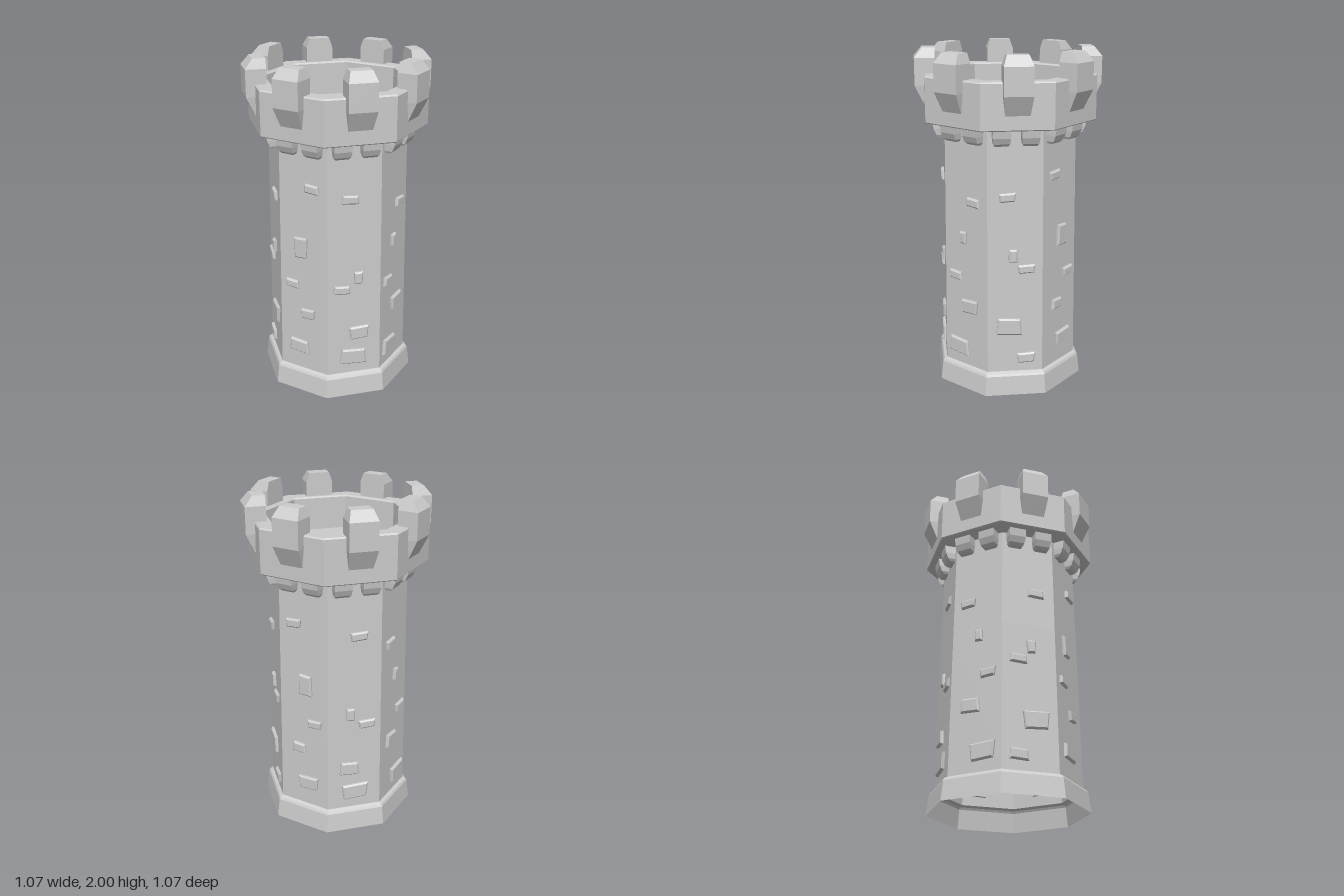
import * as THREE from 'three';

const SIDES = 8;
const stone = new THREE.MeshStandardMaterial({ color: 0xcccccc, flatShading: true, side: THREE.DoubleSide });

function add(parent, name, geometry) {
  const mesh = new THREE.Mesh(geometry, stone);
  mesh.name = name;
  parent.add(mesh);
  return mesh;
}

// Octagonal shell from [apothem, y] points, with flat faces toward the axes
function octagon(profile) {
  const k = 1 / Math.cos(Math.PI / SIDES);
  const points = profile.map(([a, y]) => new THREE.Vector2(a * k, y));
  return new THREE.LatheGeometry(points, SIDES, Math.PI / SIDES);
}

// Block lofted through rectangular sections [y, halfWidth, zMin, zMax]
function loft(sections) {
  const positions = [], index = [];
  for (const [y, w, lo, hi] of sections) {
    positions.push(-w, y, lo, -w, y, hi, w, y, hi, w, y, lo);
  }
  for (let s = 0; s < sections.length - 1; s++) {
    for (let i = 0; i < 4; i++) {
      const a = s * 4 + i, b = s * 4 + (i + 1) % 4;
      index.push(a, b, b + 4, a, b + 4, a + 4);
    }
  }
  const t = (sections.length - 1) * 4;
  index.push(2, 1, 0, 3, 2, 0, t, t + 1, t + 2, t, t + 2, t + 3);
  const g = new THREE.BufferGeometry();
  g.setAttribute('position', new THREE.Float32BufferAttribute(positions, 3));
  g.setIndex(index);
  g.computeVertexNormals();
  return g;
}

// Bevelled, slightly skewed stone that sticks out along +z
function brick(w, h, skew) {
  const b = 0.008, x = w / 2, y = h / 2;
  const g = loft([[-0.02, x, -y, y], [0.01, x, -y, y], [0.018, x - b, b - y, y - b]]);
  g.rotateX(Math.PI / 2);
  const p = g.attributes.position;
  for (let i = 0; i < p.count; i++) {
    const px = p.getX(i), py = p.getY(i);
    p.setXY(i, px * (1 + skew * py / h * 1.5), py + skew * px * 0.6);
  }
  g.computeVertexNormals();
  return g;
}

// Stone layouts per wall face: [u, y, width, height]
const FRONT = [[0.06, 1.31, 0.09, 0.05], [-0.015, 0.94, 0.08, 0.125], [-0.075, 0.7, 0.085, 0.048],
  [0.03, 0.52, 0.085, 0.06], [-0.03, 0.29, 0.125, 0.08]];
const SIDE = [[0.06, 1.16, 0.09, 0.05], [-0.015, 0.94, 0.045, 0.07], [-0.075, 0.7, 0.09, 0.05],
  [0.03, 0.52, 0.11, 0.08], [-0.05, 0.25, 0.14, 0.095]];
const DIAGONAL_A = [[-0.025, 1.255, 0.095, 0.05], [0.025, 0.77, 0.05, 0.075], [-0.075, 0.7, 0.095, 0.05],
  [0.03, 0.41, 0.11, 0.08], [-0.005, 0.25, 0.15, 0.095]];
const DIAGONAL_B = [[0.045, 1.205, 0.09, 0.05], [0.012, 0.86, 0.05, 0.075], [-0.065, 0.78, 0.095, 0.05],
  [0.035, 0.425, 0.14, 0.1], [-0.065, 0.225, 0.1, 0.06]];
// Faces in order around the tower, each with its mirror sign
const FACES = [[FRONT, 1], [DIAGONAL_A, 1], [SIDE, 1], [DIAGONAL_B, -1],
  [FRONT, -1], [DIAGONAL_A, -1], [SIDE, -1], [DIAGONAL_B, 1]];

const wallAt = (y) => 0.393 - 0.0105 * y;

export function createModel() {
  const model = new THREE.Group();
  model.name = 'tower';

  // Hollow shaft, open at the bottom, with a flared foot
  add(model, 'foot', octagon([[0.43, 0], [0.417, 0.115], [0.41, 0.128], [wallAt(0.135), 0.138]]));
  add(model, 'wall', octagon([[wallAt(0.135), 0.138], [wallAt(1), 1], [wallAt(1.6), 1.6]]));

  // Overhanging parapet with a sunken floor
  add(model, 'parapet', octagon([[wallAt(1.6), 1.597], [0.478, 1.597], [0.484, 1.603], [0.484, 1.852],
    [0.476, 1.86], [0.4, 1.86], [0.391, 1.852], [0.391, 1.66], [0, 1.66]]));

  const merlonShape = loft([[1.68, 0.068, 0.42, 0.484], [1.79, 0.08, 0.537, 0.537],
    [1.945, 0.08, 0.42, 0.537], [2, 0.06, 0.42, 0.492]].map(([y, w, , out]) => [y, w, 0.42, out]));
  const corbelShape = loft([[1.5, 0.038, 0.36, 0.405], [1.515, 0.046, 0.36, 0.422],
    [1.55, 0.05, 0.36, 0.438], [1.6, 0.05, 0.36, 0.445]]);

  FACES.forEach(([layout, sign], k) => {
    const face = new THREE.Group();
    face.name = 'face' + (k + 1);
    face.rotation.y = k * Math.PI / 4;
    model.add(face);

    add(face, 'merlon', merlonShape);
    for (const side of [-1, 1]) add(face, 'corbel', corbelShape).position.x = side * 0.08;

    // Loose stones standing out of the wall
    layout.forEach(([u, y, w, h], i) => {
      const skew = sign * (i % 2 ? 0.1 : -0.1);
      add(face, 'wallStone', brick(w, h, skew)).position.set(sign * u, y, wallAt(y));
    });
  });
  return model;
}
